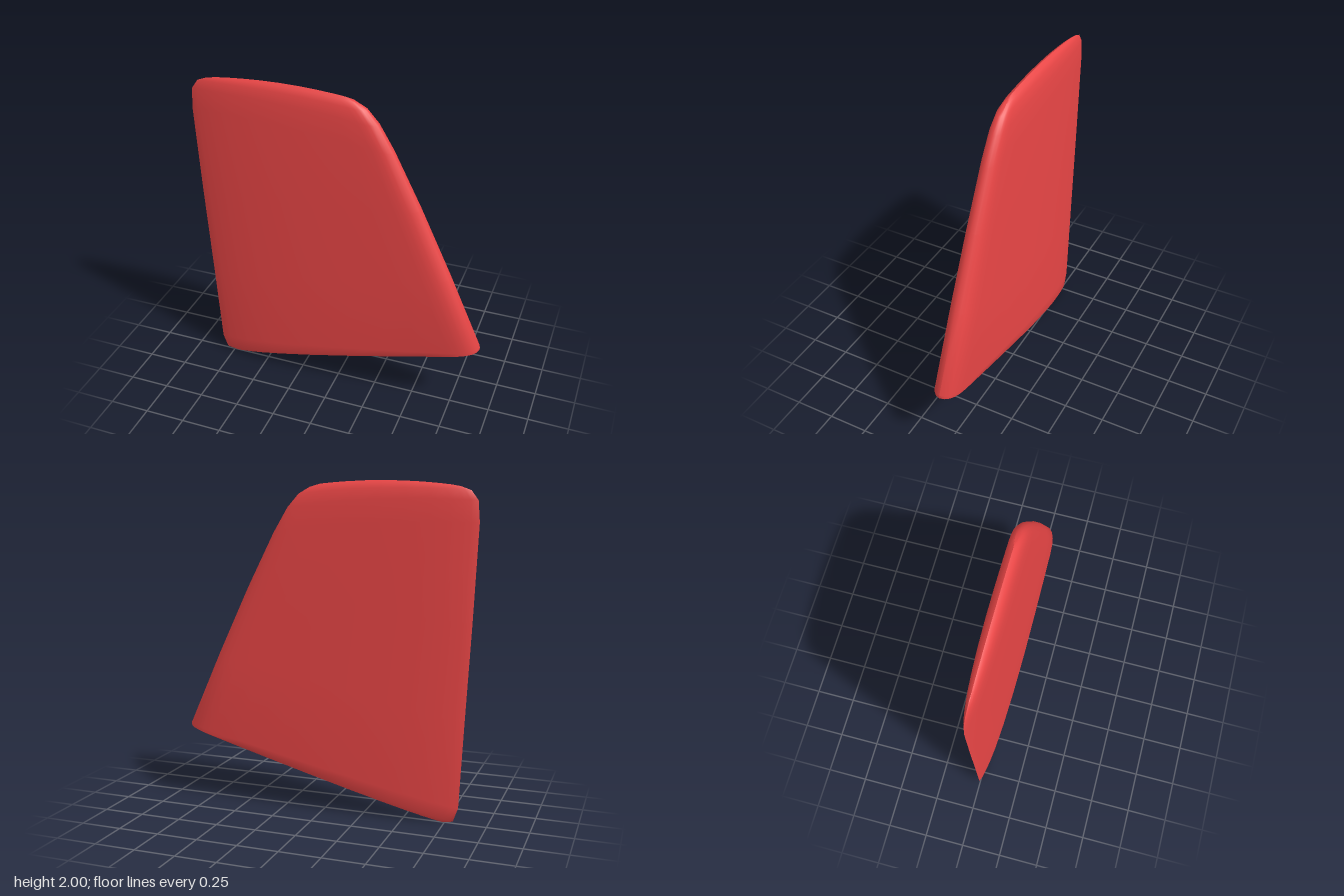
import * as THREE from 'three';
import { toCreasedNormals } from 'three/addons/utils/BufferGeometryUtils.js';

// Aerofoil half profile: [position from trailing to leading edge, share of half thickness]
const PROFILE = [
  [0, 0], [0.015, 0.13], [0.035, 0.23], [0.07, 0.38], [0.13, 0.56], [0.22, 0.73], [0.35, 0.88], [0.5, 0.97],
  [0.65, 1], [0.8, 1], [0.9, 0.99], [0.935, 0.95], [0.96, 0.85], [0.98, 0.67], [0.994, 0.38], [1, 0],
];

// Sections from root to tip: trailing x, y, leading x, y, half thickness, upward bulge
const SECTIONS = [
  [-0.74, 0.005, 0.895, 0.453, 0.070, 0],
  [-0.80, 0.015, 0.908, 0.460, 0.077, 0],
  [-0.83, 0.10, 0.908, 0.480, 0.080, 0],
  [-0.855, 0.62, 0.70, 0.94, 0.073, 0],
  [-0.885, 1.20, 0.50, 1.36, 0.063, 0],
  [-0.91, 1.77, 0.33, 1.69, 0.054, 0.03],
  [-0.90, 1.89, 0.24, 1.84, 0.048, 0.03],
  [-0.86, 1.945, 0.17, 1.92, 0.037, 0.025],
  [-0.80, 1.967, 0.10, 1.96, 0.022, 0.024],
  [-0.75, 1.976, 0.04, 1.978, 0, 0.023],
];

function loftFin() {
  const last = PROFILE.length - 1;
  const ring = 2 * last;
  const positions = [];
  const index = [];

  for (const [tx, ty, lx, ly, half, bulge] of SECTIONS) {
    for (let k = 0; k < ring; k++) {
      // out along the +z side, back along the -z side
      const [u, w] = PROFILE[k <= last ? k : ring - k];
      positions.push(
        THREE.MathUtils.lerp(tx, lx, u),
        THREE.MathUtils.lerp(ty, ly, u) + bulge * 4 * u * (1 - u),
        (k <= last ? 1 : -1) * half * w,
      );
    }
  }

  // skin between neighbouring sections
  for (let s = 0; s < SECTIONS.length - 1; s++) {
    for (let k = 0; k < ring; k++) {
      const a = s * ring + k;
      const b = s * ring + (k + 1) % ring;
      index.push(a, b, b + ring);
      if (s < SECTIONS.length - 2) index.push(a, b + ring, a + ring);
      else if (k !== 0 && k !== last) index.push(a, b + ring, a + ring);
    }
  }

  // flat root face
  for (let k = 0; k < last; k++) {
    const n0 = (ring - k) % ring;
    const n1 = ring - k - 1;
    if (k > 0) index.push(k, n0, n1);
    if (k < last - 1) index.push(k, n1, k + 1);
  }

  const geometry = new THREE.BufferGeometry();
  geometry.setAttribute('position', new THREE.Float32BufferAttribute(positions, 3));
  geometry.setIndex(index);
  return toCreasedNormals(geometry, 0.7);
}

export function createModel() {
  const model = new THREE.Group();
  model.name = 'fin';
  const blade = new THREE.Mesh(loftFin(), new THREE.MeshStandardMaterial({ color: 0xe84545 }));
  blade.name = 'finBlade';
  model.add(blade);
  return model;
}
